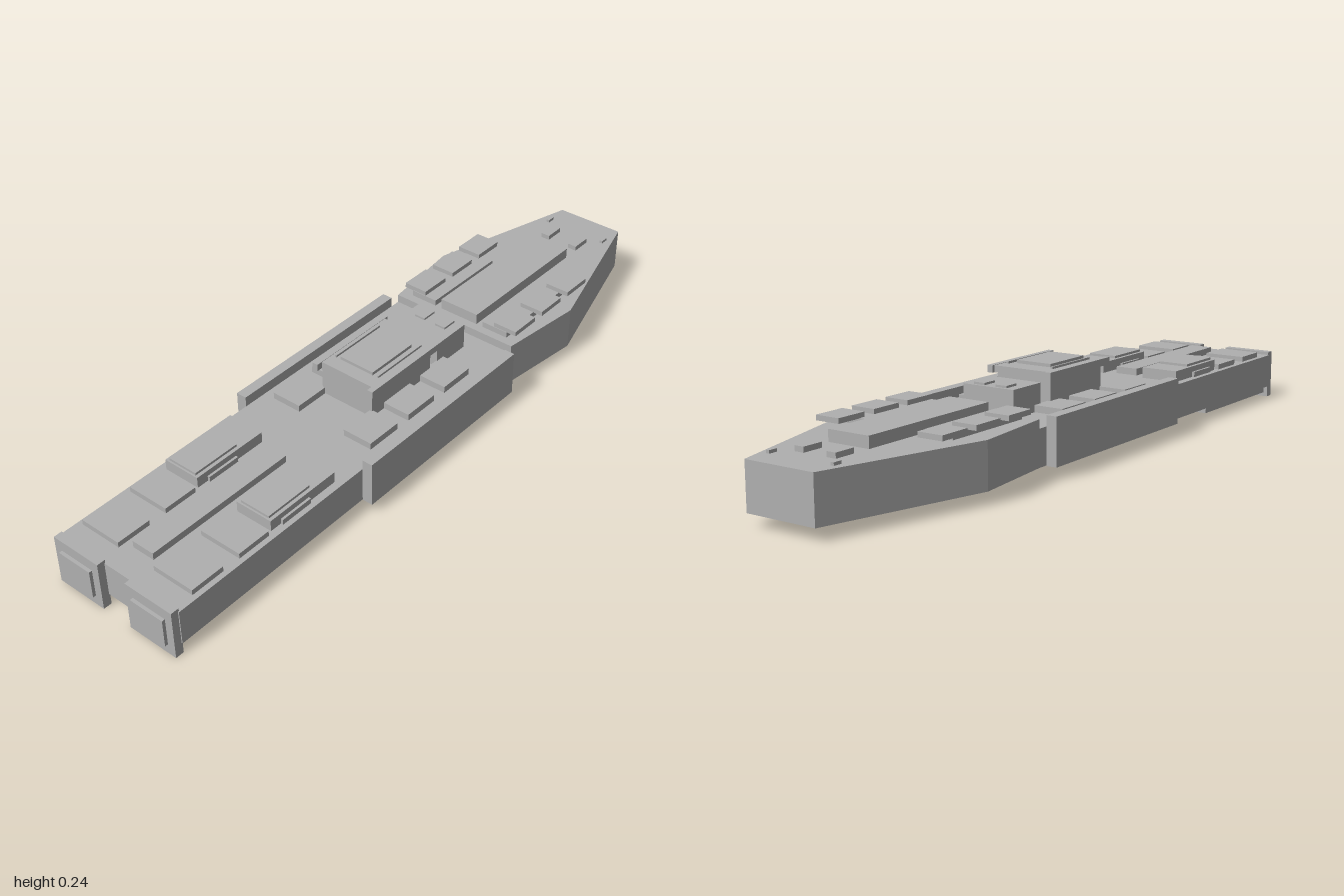
import * as THREE from 'three';

export function createModel() {
  const ship = new THREE.Group();
  ship.name = 'ship';
  const hullGrey = new THREE.MeshStandardMaterial({ color: 0xb0b0b0 });
  hullGrey.name = 'hull grey';

  // box given by its extents on each axis
  const block = (name, [x0, x1], [y0, y1], [z0, z1]) => {
    const geo = new THREE.BoxGeometry(x1 - x0, y1 - y0, z1 - z0);
    geo.translate((x0 + x1) / 2, (y0 + y1) / 2, (z0 + z1) / 2);
    const mesh = new THREE.Mesh(geo, hullGrey);
    mesh.name = name;
    ship.add(mesh);
  };
  // box on the left and its mirror on the right
  const pair = (name, [x0, x1], ys, zs) => {
    block(name + 'Left', [x0, x1], ys, zs);
    block(name + 'Right', [-x1, -x0], ys, zs);
  };

  // main hull, open deck between the side armour
  block('mainHull', [-0.2, 0.2], [0.033, 0.133], [-0.3, 0.97]);
  pair('sideArmour', [0.2, 0.231], [0.032, 0.162], [-0.27, 0.335]);

  // tapered bow
  const outline = [[-0.2, -0.3], [0.2, -0.3], [0.228, -0.55], [0.103, -1], [-0.103, -1], [-0.228, -0.55]];
  const shape = new THREE.Shape(outline.map(([x, z]) => new THREE.Vector2(x, -z)));
  const bowGeo = new THREE.ExtrudeGeometry(shape, { depth: 0.124, bevelEnabled: false });
  bowGeo.rotateX(-Math.PI / 2).translate(0, 0.033, 0);
  const bow = new THREE.Mesh(bowGeo, hullGrey);
  bow.name = 'bow';
  ship.add(bow);

  // bow deck: central block, raised side platforms with hatches, small fittings
  block('bowDeckBlock', [-0.062, 0.062], [0.157, 0.188], [-0.775, -0.325]);
  pair('bowPlatform', [0.083, 0.165], [0.157, 0.174], [-0.6, -0.325]);
  for (const z of [-0.675, -0.547, -0.42]) pair('bowHatch', [0.121, 0.194], [0.173, 0.187], [z, z + 0.093]);
  pair('bowFitting', [0.035, 0.062], [0.157, 0.171], [-0.885, -0.825]);
  pair('bowStud', [0.092, 0.102], [0.157, 0.165], [-0.935, -0.91]);

  // midship hatches
  for (const z of [-0.15, 0.003, 0.155]) pair('midHatch', [0.077, 0.167], [0.133, 0.152], [z, z + 0.108]);

  // bridge tower
  block('tower', [-0.085, 0.085], [0.133, 0.215], [-0.085, 0.16]);
  block('towerRoof', [-0.085, 0.085], [0.213, 0.232], [-0.1, 0.16]);
  pair('roofRail', [0.085, 0.102], [0.213, 0.233], [-0.11, 0.178]);
  block('roofPanel', [-0.055, 0.055], [0.232, 0.241], [-0.04, 0.12]);
  pair('roofStrip', [0.069, 0.074], [0.232, 0.238], [-0.06, 0.12]);
  block('foreTower', [-0.08, 0.08], [0.133, 0.207], [-0.243, -0.122]);
  pair('foreTowerCap', [0.018, 0.052], [0.207, 0.213], [-0.235, -0.19]);

  // aft deck: spine, hatches and stepped housings
  block('aftSpine', [-0.034, 0.034], [0.133, 0.153], [0.435, 0.89]);
  for (const z of [0.51, 0.66, 0.813]) pair('aftHatch', [0.06, 0.185], [0.133, 0.148], [z, z + 0.1]);
  pair('aftHousing', [0.067, 0.178], [0.133, 0.164], [0.415, 0.645]);
  pair('aftHousingTop', [0.077, 0.168], [0.164, 0.171], [0.495, 0.64]);

  // engines: keel pods, end flanges and nozzle plates
  pair('enginePod', [0.06, 0.185], [0.012, 0.04], [0.585, 0.97]);
  pair('engineFlange', [0.046, 0.197], [0, 0.142], [0.967, 0.991]);
  pair('enginePlate', [0.069, 0.174], [0.03, 0.111], [0.991, 1]);

  return ship;
}
